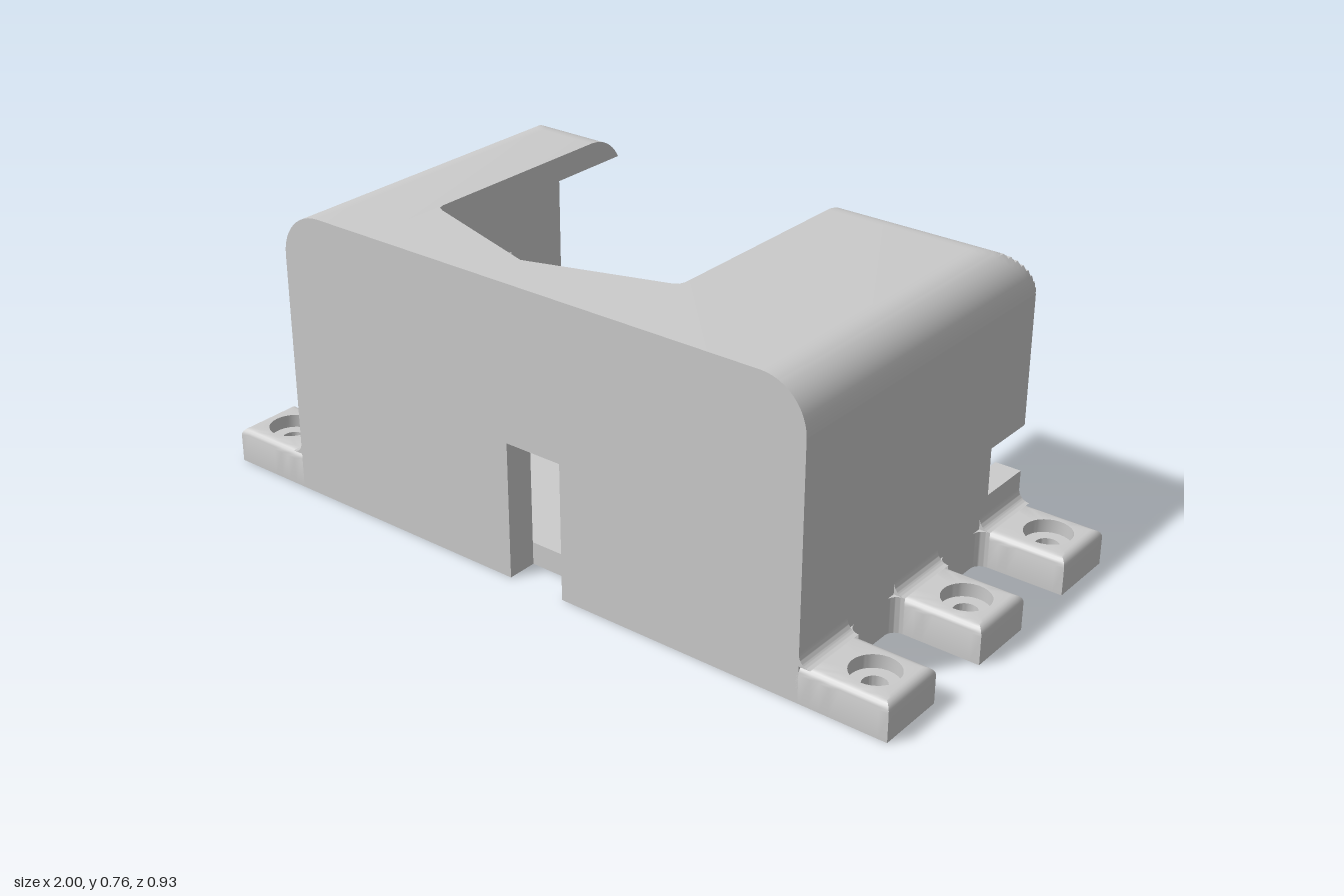
import * as THREE from 'three';
import { toCreasedNormals } from 'three/addons/utils/BufferGeometryUtils.js';

const material = new THREE.MeshStandardMaterial({ color: 0xcccccc });
const OX = 0.77, IX = 0.70;        // outer and inner half width of the housing
const BZ = 0.465, FZ = 0.385;      // half depth, inside of the front wall
const TOP = 0.765, CEIL = 0.70, R = 0.12, SHOULDER = TOP - R;
const FLOOR = 0.06, TAB = 0.095, FILLET = 0.03;

function add(parent, name, geometry) {
  const mesh = new THREE.Mesh(toCreasedNormals(geometry, 0.55), material);
  mesh.name = name;
  parent.add(mesh);
  return mesh;
}

function polygon(points) {
  return new THREE.Shape(points.map(([x, y]) => new THREE.Vector2(x, y)));
}

function extrude(shape, depth) {
  return new THREE.ExtrudeGeometry(shape, { depth, bevelEnabled: false, curveSegments: 10 });
}

// Skin a row of closed cross-section loops
function loft(loops) {
  const n = loops[0].length, index = [];
  for (let k = 0; k < loops.length - 1; k++) {
    for (let i = 0; i < n; i++) {
      const a = k * n + i, b = k * n + (i + 1) % n;
      index.push(a, b, b + n, a, b + n, a + n);
    }
  }
  const g = new THREE.BufferGeometry();
  g.setAttribute('position', new THREE.Float32BufferAttribute(loops.flat(2), 3));
  g.setIndex(index);
  return g.toNonIndexed();
}

// Roof height: rounded over both sides and the back
const round = (d) => SHOULDER + Math.sqrt(Math.max(0, R * R - Math.max(0, d) ** 2));
const roofY = (x, z) => Math.min(round(Math.abs(x) - OX + R), round(-z - BZ + R));
const LIP = -(BZ - R + Math.sqrt(R * R - (CEIL - SHOULDER) ** 2));

// Roof slab from columns { x, zs, bottom }
function slab(columns) {
  const loop = ({ x, zs, bottom }, cap) => {
    const under = zs.map((z) => [x, bottom, z]);
    const over = cap ? under : zs.map((z) => [x, Math.max(bottom, roofY(x, z)), z]);
    return [...over, ...[...under].reverse()];
  };
  return loft([loop(columns[0], true), ...columns.map((c) => loop(c, false)), loop(columns.at(-1), true)]);
}

const arc = Array.from({ length: 13 }, (_, i) => R * Math.cos((i / 12) * Math.PI / 2));

function sideRoof(side, innerEdge) {
  const zs = [...arc.map((d) => -(BZ - R) - d), BZ];
  const outer = (x) => ({ x: side * x, zs, bottom: SHOULDER });
  const inner = (x) => ({ x: side * x, zs: zs.map((z) => Math.max(z, LIP)), bottom: CEIL });
  const xs = arc.map((d) => OX - R + d);
  const columns = [
    ...xs.filter((x) => x > IX).map(outer), outer(IX), inner(IX),
    ...xs.filter((x) => x < IX).map(inner), inner(innerEdge),
  ];
  return slab(side > 0 ? columns.reverse() : columns);
}

// Mounting tab with a vertical screw hole; top edges rounded except a flush one
function tabGeometry(z0, z1, height, bored) {
  const x0 = OX - 0.02, x1 = 1, cx = 0.905, cz = (z0 + z1) / 2, n = 10, e = 0.022;
  const corners = [[1, 0], [1, 1], [0, 1], [0, 0]];
  const unit = corners.flatMap(([u, v], c) => {
    const [p, q] = corners[(c + 1) % 4];
    return Array.from({ length: n }, (_, i) => [u + (p - u) * i / n, v + (q - v) * i / n]);
  });
  const outline = (d, y) => {
    const a = z0 <= -BZ && bored.flush ? z0 : z0 + d;
    const b = z1 >= BZ && bored.flush ? z1 : z1 - d;
    return unit.map(([u, v]) => [x0 + (x1 - d - x0) * u, y, a + (b - a) * v]);
  };
  const circle = (r, y) => unit.map(([u, v]) => {
    const t = Math.atan2(z0 + (z1 - z0) * v - cz, x0 + (x1 - x0) * u - cx);
    return [cx + r * Math.cos(t), y, cz + r * Math.sin(t)];
  });
  const loops = [circle(0.03, 0), circle(0.03, FLOOR)];
  if (height > FLOOR) loops.push(circle(0.06, FLOOR), circle(0.06, height));
  const edge = height > FLOOR ? e : 0;
  for (let i = 0; i <= 5; i++) {
    const t = (i / 5) * Math.PI / 2;
    loops.push(outline(edge * (1 - Math.sin(t)), height - edge * (1 - Math.cos(t))));
  }
  loops.push(outline(0, 0), circle(0.03, 0));
  return loft(loops);
}

// Concave fillet strip, wall at x = 0 and ledge at y = 0
function fillet(length) {
  const s = new THREE.Shape();
  s.moveTo(0, 0);
  s.lineTo(FILLET, 0);
  s.absarc(FILLET, FILLET, FILLET, -Math.PI / 2, -Math.PI, true);
  s.lineTo(0, 0);
  return extrude(s, length);
}

function mountingTabs(side) {
  const group = new THREE.Group();
  group.name = side > 0 ? 'leftTabs' : 'rightTabs';
  for (const row of [1, 0, -1]) {
    const c = row * 0.3725 * side, z0 = c - 0.0925, z1 = c + 0.0925;
    const lowered = side < 0 && row === 0;
    add(group, 'mountingTab', tabGeometry(z0, z1, lowered ? FLOOR : TAB, { flush: row === 1 }));
    // Fillets where the tab meets the wall
    const top = lowered ? 0.0575 : z1 - z0;
    add(group, 'tabTopFillet', fillet(top).translate(OX, TAB, z0));
    if (z0 > -BZ + 0.01) {
      add(group, 'tabSideFillet', fillet(TAB).rotateX(-Math.PI / 2).translate(OX, 0, z0));
    }
    if (z1 < BZ - 0.01 && !lowered) {
      add(group, 'tabSideFillet', fillet(TAB).rotateX(Math.PI / 2).translate(OX, TAB, z1));
    }
    // Ridge left standing beside the lowered part, notched by the screw recess
    if (lowered) {
      const t = Math.asin(0.035 / 0.06), s = new THREE.Shape();
      s.moveTo(OX, 0.035);
      s.absarc(0.905, 0, 0.06, Math.PI - t, t, true);
      s.lineTo(1, 0.035);
      s.lineTo(1, 0.0925);
      s.lineTo(OX, 0.0925);
      add(group, 'tabRidge', extrude(s, TAB - FLOOR).rotateX(-Math.PI / 2).translate(0, FLOOR, 0));
    }
  }
  if (side < 0) group.rotation.y = Math.PI;
  return group;
}

export function createModel() {
  const model = new THREE.Group();
  model.name = 'housing';

  // Floor plate
  add(model, 'floor', new THREE.BoxGeometry(2 * IX, FLOOR, BZ + FZ).translate(0, FLOOR / 2, (FZ - BZ) / 2));

  // Front wall with cable notch open at the bottom
  const front = polygon([[-IX, 0], [-0.06, 0], [-0.06, 0.36], [0.10, 0.36], [0.10, 0], [IX, 0], [IX, CEIL], [-IX, CEIL]]);
  add(model, 'frontWall', extrude(front, BZ - FZ).translate(0, 0, FZ));

  // Left wall with a slot open at the back
  const left = polygon([[-BZ, 0], [BZ, 0], [BZ, 0.175], [0.31, 0.175], [0.31, 0.30], [BZ, 0.30], [BZ, SHOULDER], [-BZ, SHOULDER]]);
  add(model, 'leftWall', extrude(left, OX - IX).rotateY(Math.PI / 2).translate(IX, 0, 0));

  // Right wall with a rectangular opening
  const right = polygon([[-BZ, 0], [BZ, 0], [BZ, SHOULDER], [-BZ, SHOULDER]]);
  right.holes.push(polygon([[-0.035, FLOOR], [-0.035, 0.43], [0.265, 0.43], [0.265, FLOOR]]));
  add(model, 'rightWall', extrude(right, OX - IX).rotateY(Math.PI / 2).translate(-OX, 0, 0));

  // Roof around the pointed cutout
  add(model, 'roofLeft', sideRoof(1, 0.26));
  add(model, 'roofRight', sideRoof(-1, 0.48));
  const cutout = [[-0.48, 0.21], [-0.475, 0.226], [-0.46, 0.235], [-0.11, 0.345], [0.24, 0.235], [0.255, 0.226], [0.26, 0.21]];
  add(model, 'roofFront', slab(cutout.map(([x, z]) => ({ x, zs: [z, BZ], bottom: CEIL }))));

  // Screw tabs
  model.add(mountingTabs(1), mountingTabs(-1));
  return model;
}
